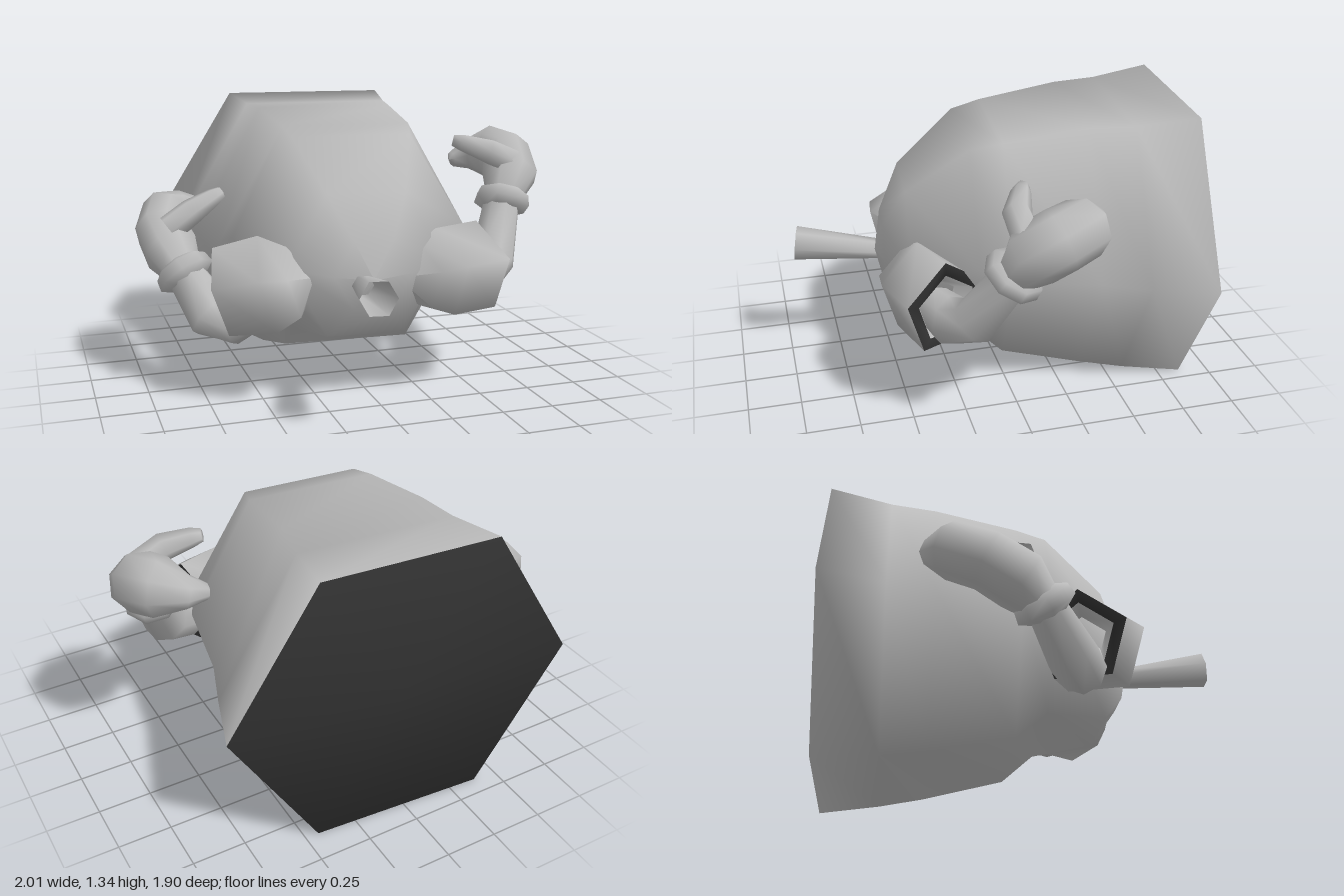
import * as THREE from 'three';

// Skin of rings along a path; each ring is [x, y, z, radius, heightScale].
// A fixed axis keeps all rings parallel; darkBand gives one band the second material.
function loft(rings, sides, { axis = null, rot = 0, darkBand = -1 } = {}) {
  const P = rings.map(r => new THREE.Vector3(r[0], r[1], r[2]));
  const pos = [], idx = [];
  let u = null;
  rings.forEach((r, i) => {
    const t = (axis ? axis.clone()
      : P[Math.min(i + 1, P.length - 1)].clone().sub(P[Math.max(i - 1, 0)])).normalize();
    if (!u) u = new THREE.Vector3(0, 1, 0).cross(t);
    u.addScaledVector(t, -t.dot(u)).normalize();
    const v = t.clone().cross(u);
    for (let j = 0; j < sides; j++) {
      const a = rot + j / sides * Math.PI * 2;
      const p = P[i].clone().addScaledVector(u, Math.cos(a) * r[3])
        .addScaledVector(v, Math.sin(a) * r[3] * (r[4] ?? 1));
      pos.push(p.x, p.y, p.z);
    }
  });
  const g = new THREE.BufferGeometry();
  for (let i = 0; i < rings.length - 1; i++) {
    g.addGroup(i * sides * 6, sides * 6, i === darkBand ? 1 : 0);
    for (let j = 0; j < sides; j++) {
      const a = i * sides + j, b = i * sides + (j + 1) % sides;
      const c = b + sides, d = a + sides;
      idx.push(a, b, c, a, c, d);
    }
  }
  g.setAttribute('position', new THREE.Float32BufferAttribute(pos, 3));
  g.setIndex(idx);
  g.computeVertexNormals();
  return g;
}

// Flared band around the wrist, set along the last stretch of the forearm
function bandRings(arm) {
  const [a, b] = arm.slice(-2).map(p => new THREE.Vector3(p[0], p[1], p[2]));
  const dir = b.clone().sub(a).normalize();
  return [[-0.05, 0.09], [-0.02, 0.14], [0.035, 0.13], [0.06, 0.08]].map(([s, r]) => {
    const p = b.clone().addScaledVector(dir, s);
    return [p.x, p.y, p.z, r];
  });
}

// Cuff skin continued over a flat rim into a recess
function cuffRings(outer, axis) {
  const [x, y, z, r] = outer[outer.length - 1];
  const back = new THREE.Vector3(x, y, z).addScaledVector(axis, -0.08);
  return [...outer, [x, y, z, r], [x, y, z, r * 0.72], [back.x, back.y, back.z, r * 0.5]];
}

export function createModel() {
  const model = new THREE.Group();
  const grey = new THREE.MeshStandardMaterial({ color: 0xbababa, side: THREE.DoubleSide });
  grey.name = 'light grey';
  const dark = new THREE.MeshStandardMaterial({ color: 0x303030, side: THREE.DoubleSide });
  dark.name = 'dark grey';
  const add = (name, geo, parent = model) => {
    const m = new THREE.Mesh(geo, [grey, dark]);
    m.name = name;
    parent.add(m);
  };

  // Six-sided bullet body with a dark back plate, back to nose
  add('body', loft([
    [0.025, 0.68, -0.888, 0, 1],
    [0.025, 0.68, -0.888, 0.825, 0.935],
    [0.015, 0.68, -0.6, 0.74, 0.99],
    [0, 0.695, -0.39, 0.68, 1.045],
    [-0.01, 0.72, 0, 0.62, 1.005],
    [-0.03, 0.765, 0.145, 0.57, 0.93],
    [-0.05, 0.67, 0.43, 0.365, 1.04],
    [-0.05, 0.645, 0.535, 0.18, 1],
    [-0.06, 0.63, 0.57, 0, 1],
  ], 6, { axis: new THREE.Vector3(-0.07, 0, 1), darkBand: 0 }));

  // Hollow tube at the nose
  add('noseTube', loft([[-0.1, 0.6, 0.5, 0.045], [-0.17, 0.655, 0.94, 0.082]], 6));

  // Arm: open cuff with dark rim, forearm, wrist band, curled mitt and thumb
  function addArm(name, cuffAxis, cuff, arm, mitt, thumb) {
    const g = new THREE.Group();
    g.name = name;
    model.add(g);
    const axis = new THREE.Vector3(...cuffAxis).normalize();
    add('cuff', loft(cuffRings(cuff, axis), 5, { axis, rot: Math.PI / 2, darkBand: cuff.length }), g);
    add('forearm', loft(arm, 8), g);
    add('wristBand', loft(bandRings(arm), 8), g);
    add('mitt', loft(mitt, 8), g);
    add('thumb', loft(thumb, 6), g);
  }

  addArm('leftArm', [0.9, 0, -0.43],
    [[0.08, 0.61, 0.48, 0], [0.19, 0.6, 0.46, 0.16], [0.29, 0.6, 0.42, 0.215], [0.53, 0.6, 0.34, 0.22]],
    [[0.42, 0.55, 0.38, 0.1], [0.55, 0.54, 0.32, 0.115], [0.67, 0.6, 0.24, 0.11], [0.78, 0.86, 0.1, 0.09]],
    [[0.79, 0.87, 0.09, 0.09], [0.85, 0.98, 0.04, 0.14], [0.875, 1.05, -0.07, 0.14],
      [0.83, 1.07, -0.18, 0.135], [0.73, 1.05, -0.24, 0.075], [0.65, 1.03, -0.24, 0.04], [0.63, 1.03, -0.23, 0]],
    [[0.84, 1.05, 0.06, 0.07], [0.71, 1.11, 0.07, 0.065], [0.59, 1.15, 0.02, 0.045], [0.55, 1.16, 0, 0.03],
      [0.55, 1.16, 0, 0]]);

  addArm('rightArm', [-0.9, -0.25, -0.38],
    [[-0.3, 0.63, 0.44, 0], [-0.37, 0.6, 0.39, 0.17], [-0.47, 0.58, 0.32, 0.235], [-0.66, 0.53, 0.2, 0.215]],
    [[-0.53, 0.46, 0.25, 0.1], [-0.63, 0.39, 0.21, 0.11], [-0.71, 0.41, 0.15, 0.12], [-0.81, 0.59, 0.01, 0.09]],
    [[-0.81, 0.59, 0, 0.09], [-0.85, 0.67, -0.1, 0.135], [-0.875, 0.74, -0.25, 0.13],
      [-0.83, 0.8, -0.4, 0.125], [-0.74, 0.83, -0.45, 0.075], [-0.68, 0.83, -0.44, 0.045], [-0.66, 0.83, -0.44, 0]],
    [[-0.86, 0.78, -0.1, 0.07], [-0.75, 0.86, -0.1, 0.065], [-0.64, 0.92, -0.12, 0.045], [-0.6, 0.94, -0.13, 0.03],
      [-0.6, 0.94, -0.13, 0]]);

  return model;
}
